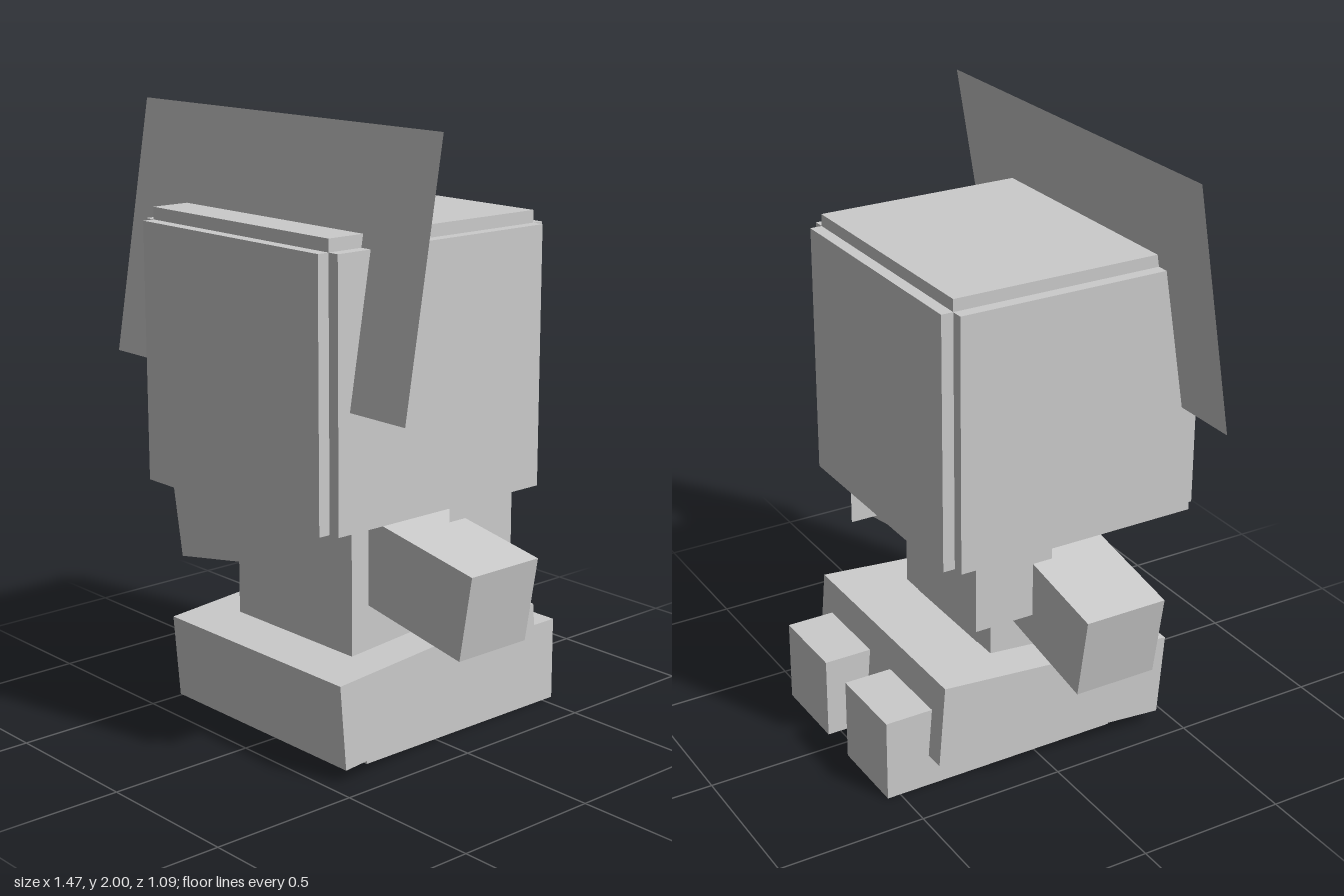
import * as THREE from 'three';

const grey = new THREE.MeshStandardMaterial({ color: 0xcccccc, flatShading: true });
const thin = new THREE.MeshStandardMaterial({ color: 0xcccccc, flatShading: true, side: THREE.DoubleSide });

function box(name, size, pos) {
  const mesh = new THREE.Mesh(new THREE.BoxGeometry(...size), grey);
  mesh.name = name;
  mesh.position.set(...pos);
  return mesh;
}

function sheet(name, width, height, pos) {
  const mesh = new THREE.Mesh(new THREE.PlaneGeometry(width, height), thin);
  mesh.name = name;
  mesh.position.set(...pos);
  return mesh;
}

export function createModel() {
  const model = new THREE.Group();
  model.name = 'blockFigure';

  // Head: three crossed slabs that leave stepped edges
  const head = new THREE.Group();
  head.name = 'head';
  head.add(
    box('headSides', [0.92, 0.84, 0.84], [0, 1.23, 0.085]),
    box('headFrontBack', [0.84, 0.84, 0.92], [0, 1.23, 0.085]),
    box('headTop', [0.84, 0.88, 0.84], [0, 1.25, 0.085])
  );
  model.add(head);

  // Wide flat crest leaning back through the head
  const crest = sheet('crest', 1.39, 0.832, [0, 1.59, 0.39]);
  crest.rotation.x = -Math.atan2(0.14, 0.82);
  model.add(crest);

  // Torso with a flush panel on its back
  model.add(box('torso', [0.56, 0.56, 0.42], [0, 0.53, 0.085]));
  model.add(sheet('backPanel', 0.4, 0.3, [0, 0.43, -0.127]));

  // Tilted hip block
  const hips = box('hips', [0.84, 0.28, 0.84], [0, 0.218, 0.035]);
  hips.rotation.x = THREE.MathUtils.degToRad(4.7);
  model.add(hips);

  for (const [side, s] of [['left', 1], ['right', -1]]) {
    // Arm sloping down and outwards
    const arm = box(side + 'Arm', [0.56, 0.28, 0.28], [s * 0.434, 0.604, 0.085]);
    arm.rotation.z = -s * THREE.MathUtils.degToRad(10);
    model.add(arm);

    // Small upright fin behind the arm
    const fin = sheet(side + 'Fin', 0.275, 0.245, [s * 0.42, 0.688, -0.123]);
    fin.rotation.y = Math.PI / 2;
    model.add(fin);

    // Foot reaching out behind the hips
    model.add(box(side + 'Foot', [0.28, 0.28, 0.84], [s * 0.21, 0.14, -0.125]));
  }
  return model;
}
